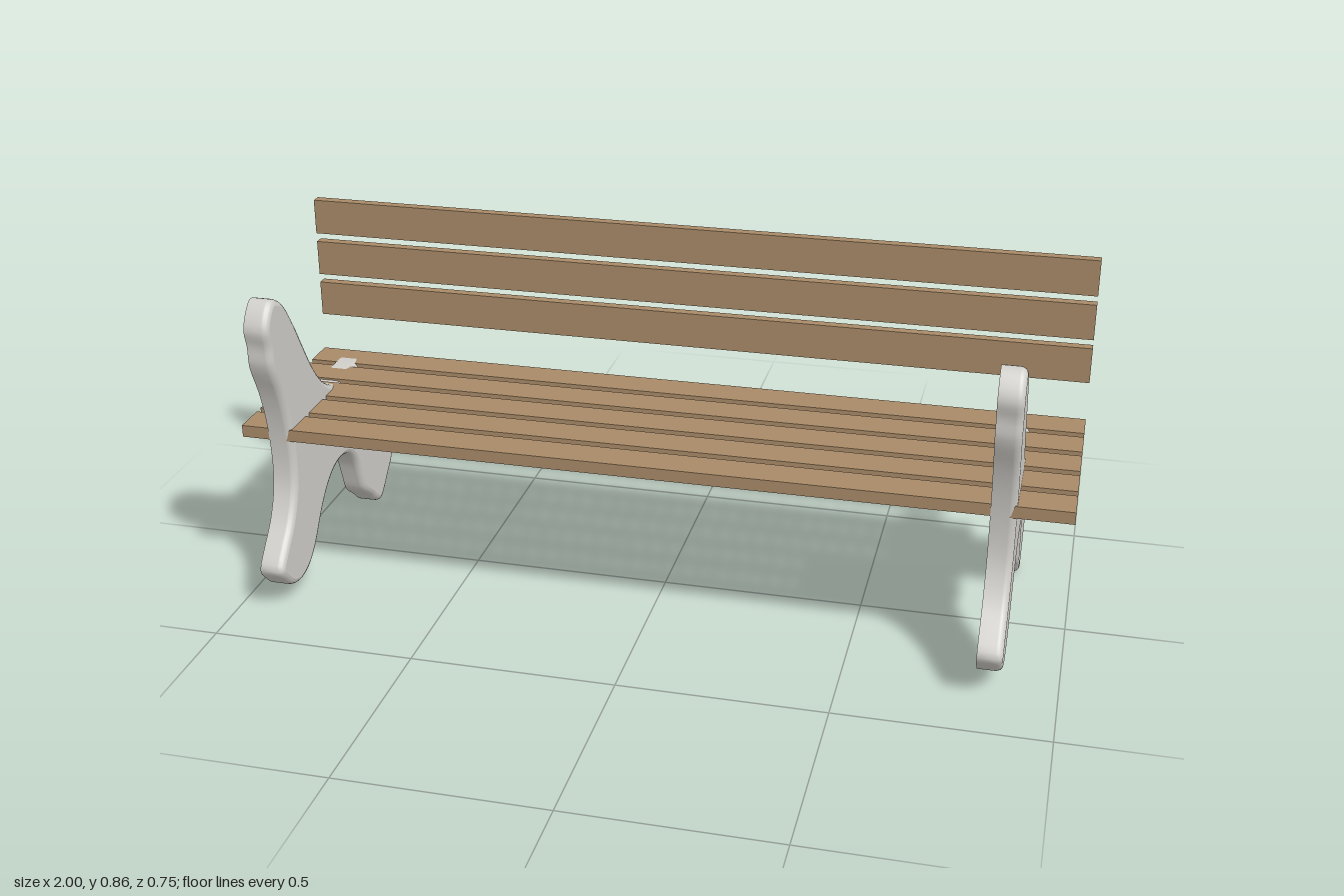
import * as THREE from 'three';

// Side frame outline as (z, y), counter-clockwise seen from +x
const OUTLINE = [
  [0.293, 0.796], [0.32, 0.775], [0.341, 0.734], [0.331, 0.689], [0.329, 0.639], [0.293, 0.557],
  [0.268, 0.473], [0.255, 0.37], [0.261, 0.291], [0.295, 0.216], [0.343, 0.161], [0.375, 0.116],
  [0.343, 0.075], [0.309, 0.048], [0.264, 0.038], [0.214, 0.05], [0.168, 0.086], [0.116, 0.155],
  [0.07, 0.202], [0.023, 0.23], [-0.036, 0.239], [-0.089, 0.223], [-0.127, 0.182], [-0.15, 0.125],
  [-0.168, 0.08], [-0.214, 0.041], [-0.248, 0.011], [-0.27, 0.001], [-0.293, 0.011], [-0.339, 0.055],
  [-0.372, 0.089], [-0.375, 0.105], [-0.339, 0.166], [-0.32, 0.216], [-0.323, 0.275], [-0.336, 0.343],
  [-0.332, 0.382], [-0.305, 0.416], [-0.259, 0.439], [-0.168, 0.45], [-0.059, 0.443], [-0.009, 0.457],
  [0.048, 0.495], [0.093, 0.548], [0.139, 0.623], [0.184, 0.7], [0.23, 0.764], [0.259, 0.786],
];

// Cross-section rings [inset, x]: flat on the -x side, rounded rim on the +x side
const RINGS = [[0, 0], [0, 0.042], [0.001, 0.047], [0.004, 0.053], [0.009, 0.057], [0.015, 0.059]];

function frameGeometry() {
  const curve = new THREE.CatmullRomCurve3(
    OUTLINE.map(([z, y]) => new THREE.Vector3(-z, y, 0)), true, 'centripetal');
  const n = 144;
  const pts = [];
  for (let i = 0; i < n; i++) pts.push(curve.getPoint(i / n));

  const ring = (inset) => pts.map((p, i) => {
    const a = pts[(i + n - 1) % n], b = pts[(i + 1) % n];
    const t = new THREE.Vector2(b.x - a.x, b.y - a.y).normalize();
    return new THREE.Vector2(p.x - t.y * inset, p.y + t.x * inset);
  });

  const positions = [], index = [];
  const addRing = (inset, x) => {
    const start = positions.length / 3;
    const loop = ring(inset);
    loop.forEach((p) => positions.push(x, p.y, -p.x));
    return { start, loop };
  };

  // Edge wall and rounded rim
  const rings = RINGS.map(([inset, x]) => addRing(inset, x));
  for (let r = 0; r < rings.length - 1; r++) {
    for (let i = 0; i < n; i++) {
      const j = (i + 1) % n;
      const a = rings[r].start + i, b = rings[r].start + j;
      const c = rings[r + 1].start + j, d = rings[r + 1].start + i;
      index.push(a, b, c, a, c, d);
    }
  }

  // Flat faces, with their own vertices so the edges stay crisp
  const cap = (inset, x, flip) => {
    const { start, loop } = addRing(inset, x);
    for (const [a, b, c] of THREE.ShapeUtils.triangulateShape(loop, [])) {
      if (flip) index.push(start + a, start + c, start + b);
      else index.push(start + a, start + b, start + c);
    }
  };
  cap(RINGS[0][0], RINGS[0][1], true);
  cap(RINGS.at(-1)[0], RINGS.at(-1)[1], false);

  const geometry = new THREE.BufferGeometry();
  geometry.setAttribute('position', new THREE.Float32BufferAttribute(positions, 3));
  geometry.setIndex(index);
  geometry.computeVertexNormals();
  return geometry;
}

export function createModel() {
  const wood = new THREE.MeshStandardMaterial({ color: 0xa88a68 });
  wood.name = 'wood';
  const stone = new THREE.MeshStandardMaterial({ color: 0xd0cec9 });
  stone.name = 'pale stone';

  const bench = new THREE.Group();
  bench.name = 'bench';

  // Two side frames, both with the rounded rim facing +x
  const frame = frameGeometry();
  [['rightFrame', -0.93], ['leftFrame', 0.812]].forEach(([name, x]) => {
    const mesh = new THREE.Mesh(frame, stone);
    mesh.name = name;
    mesh.position.x = x;
    bench.add(mesh);
  });

  // Five seat slats
  const seat = new THREE.Group();
  seat.name = 'seat';
  const seatSlat = new THREE.BoxGeometry(2, 0.03, 0.086);
  for (let i = 0; i < 5; i++) {
    const slat = new THREE.Mesh(seatSlat, wood);
    slat.name = 'seatSlat';
    slat.position.set(0, 0.433, 0.216 - i * 0.108);
    seat.add(slat);
  }

  // Three upright backrest slats
  const backrest = new THREE.Group();
  backrest.name = 'backrest';
  const backSlat = new THREE.BoxGeometry(2, 0.09, 0.026);
  for (let i = 0; i < 3; i++) {
    const slat = new THREE.Mesh(backSlat, wood);
    slat.name = 'backSlat';
    slat.position.set(0, 0.588 + i * 0.1125, -0.276);
    backrest.add(slat);
  }

  bench.add(seat, backrest);
  return bench;
}
